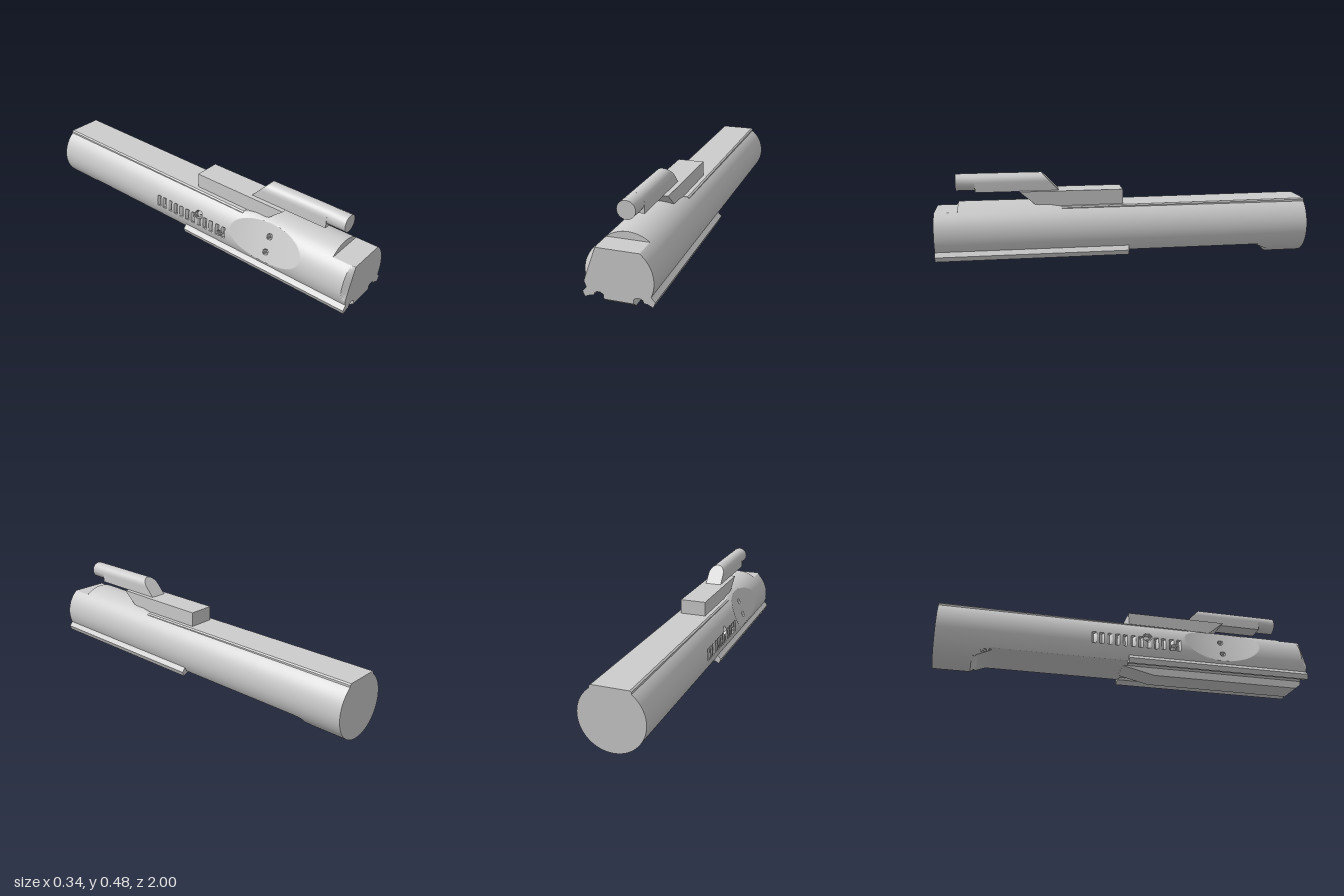
import * as THREE from 'three';
import { toCreasedNormals } from 'three/addons/utils/BufferGeometryUtils.js';

const R = 0.166, CY = 0.168;          // main cylinder radius and axis height
const NX = -0.939, NY = 0.343;        // direction of the side scoop
const EPS = 0.001;

// sharp edges kept, curves smooth (scaled up so that fine detail is not merged)
function crease(geo, angle) {
  geo.scale(100, 100, 100);
  const g = toCreasedNormals(geo, angle);
  g.scale(0.01, 0.01, 0.01);
  return g;
}

function shapeOf(points) {
  return new THREE.Shape(points.map(([x, y]) => new THREE.Vector2(x, y)));
}

// right half of a profile completed by its mirror image
function mirrored(points) {
  return shapeOf([...points, ...points.map(([x, y]) => [-x, y]).reverse()]);
}

// profile in x,y pushed along z
function extrudeZ(shape, z0, z1) {
  const g = new THREE.ExtrudeGeometry(shape, { depth: z1 - z0, bevelEnabled: false, curveSegments: 10 });
  return g.translate(0, 0, z0);
}

// profile in z,y pushed across x
function extrudeX(points, width) {
  const g = new THREE.ExtrudeGeometry(shapeOf(points), { depth: width, bevelEnabled: false });
  return g.translate(0, 0, -width / 2).rotateY(-Math.PI / 2);
}

const mix = (z, a, b, ya, yb) => ya + (yb - ya) * THREE.MathUtils.clamp((z - a) / (b - a), 0, 1);

// height of the flat on the underside
function bottomCut(z) {
  if (z >= 0) return 0.088;
  if (z > -0.78) return mix(z, -0.78, -0.71, 0.043, 0.073);
  return mix(z, -0.81, -0.78, 0, 0.043);
}

// height of the flat on the top
function topCut(z) {
  if (z > 0.88) return 0.298;
  return mix(z, 0.33, 0.5, 0.306, 0.335);
}

// round pits as [y, z, radius, depth]
const PITS = [
  [0.21, 0.09, 0.022, 0.02], [0.165, 0.235, 0.016, 0.02],
  [0.245, 0.52, 0.014, 0.03], [0.165, 0.52, 0.014, 0.03],
];

// one point of the body surface: cylinder, flats, scoop, notches and pits
function bodyPoint(a, z) {
  let x = R * Math.cos(a);
  let y = CY + R * Math.sin(a);
  y = Math.min(topCut(z), Math.max(bottomCut(z), y));
  if (x < 0) {
    const s = x * NX + (y - CY) * NY;
    const dz = z - 0.515;
    let limit = 0.13 + (dz * dz) / 1.28;
    if (z > 0.999) limit = 0.139;
    let push = Math.max(0, s - limit);
    for (const [py, pz, r, depth] of PITS) {
      if (Math.hypot(y - push * NY - py, z - pz) < r) push += depth;
    }
    if (z > -0.22 && z < 0.29 && y > 0.145 && y < 0.207) {
      const k = ((z + 0.22) % 0.042) - 0.021;
      push += 0.014 * Math.max(0, 1 - Math.abs(k) / 0.012);
    }
    x -= NX * push;
    y -= NY * push;
  }
  return [x, y, z];
}

function bodyGeometry() {
  const seg = 220;
  const zs = [-1, -0.81, -0.78, -0.71, -0.5, -EPS, 0.88, 0.88 + EPS, 0.975, 1];
  for (let i = 0; i <= 196; i++) zs.push((i - 46) * 0.005);
  zs.sort((p, q) => p - q);
  const pos = [], index = [];
  for (const z of zs) {
    for (let i = 0; i < seg; i++) pos.push(...bodyPoint((i / seg) * Math.PI * 2, z));
  }
  for (let j = 0; j < zs.length - 1; j++) {
    for (let i = 0; i < seg; i++) {
      const a = j * seg + i, b = j * seg + (i + 1) % seg;
      index.push(a, b, a + seg, b, b + seg, a + seg);
    }
  }
  // end faces
  const last = (zs.length - 1) * seg, c0 = zs.length * seg;
  pos.push(0, CY, -1, 0, CY, 1);
  for (let i = 0; i < seg; i++) {
    const n = (i + 1) % seg;
    index.push(c0, n, i, c0 + 1, last + i, last + n);
  }
  const g = new THREE.BufferGeometry();
  g.setAttribute('position', new THREE.Float32BufferAttribute(pos, 3));
  g.setIndex(index);
  return g;
}

export function createModel() {
  const model = new THREE.Group();
  const steel = new THREE.MeshStandardMaterial({ color: 0xcccccc });
  steel.name = 'light grey steel';
  const add = (name, geo, angle = 0.45) => {
    const mesh = new THREE.Mesh(crease(geo, angle), steel);
    mesh.name = name;
    model.add(mesh);
  };

  add('body', bodyGeometry(), 0.3);

  // flat top strip with small lips, falling slightly toward its front
  const strip = extrudeZ(mirrored([[0.1, 0.28], [0.1, 0.311], [0.092, 0.317]]), -1, 0.34);
  const sp = strip.attributes.position;
  for (let i = 0; i < sp.count; i++) {
    if (sp.getZ(i) > 0) sp.setY(i, sp.getY(i) - 0.007);
  }
  add('topStrip', strip);

  // lower rails with the rounded grooves between them and the keel
  add('lowerRails', extrudeZ(mirrored([[0.14, 0.115], [0.154, 0.097], [0.171, 0.078], [0.16, 0.052],
    [0.135, 0.064], [0.118, 0.066], [0.113, 0.079], [0.101, 0.086], [0.084, 0.086], [0.074, 0.078],
    [0.069, 0.074]].reverse()), -0.01, 1));

  // keel under the front half
  add('keel', extrudeX([[-0.02, 0.09], [-0.02, 0.072], [0.15, 0.032], [0.97, 0.032], [1, 0.055], [1, 0.09]], 0.14));

  // block on the top
  add('topBlock', extrudeX([[0.01, 0.3], [0.34, 0.3], [0.48, 0.322], [0.56, 0.39], [0.01, 0.39]], 0.14));

  // tube on the block, flat-bottomed and cut at a slant behind
  const tubeY = 0.438, tubeR = 0.045;
  const arch = new THREE.Shape();
  arch.moveTo(-tubeR, 0.388);
  arch.lineTo(tubeR, 0.388);
  arch.lineTo(tubeR, tubeY);
  arch.absarc(0, tubeY, tubeR, 0, Math.PI, false);
  arch.lineTo(-tubeR, 0.388);
  const tube = extrudeZ(arch, 0.35, 0.79);
  const tp = tube.attributes.position;
  for (let i = 0; i < tp.count; i++) {
    if (tp.getZ(i) < 0.5) tp.setZ(i, 0.35 + (tp.getY(i) - 0.388) * 0.95);
  }
  add('tube', tube);
  add('tubeNose', new THREE.CylinderGeometry(tubeR, tubeR, 0.14, 20).rotateX(Math.PI / 2).translate(0, tubeY, 0.82));

  return model;
}
